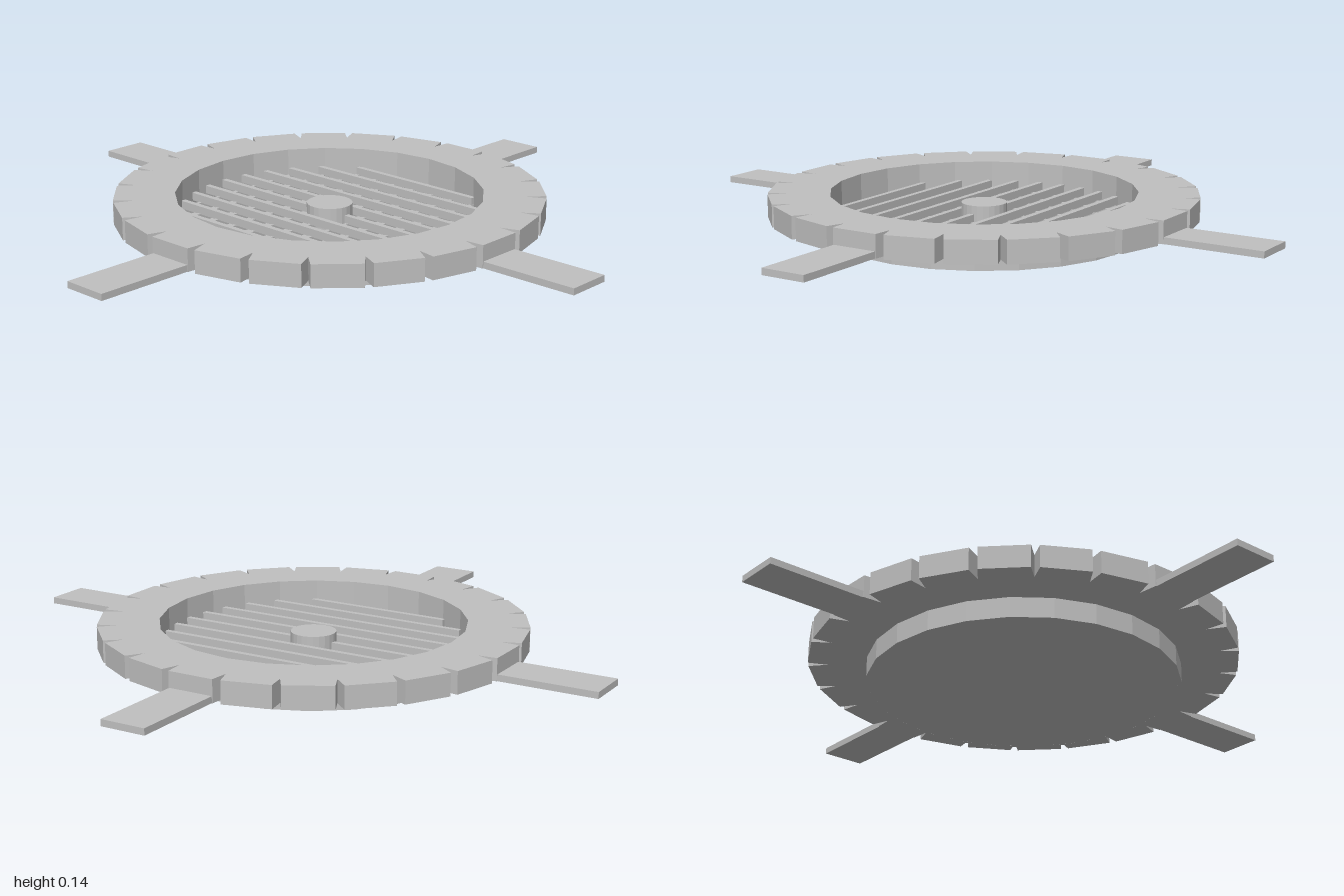
import * as THREE from 'three';

const SIDES = 24;
const STEP = (Math.PI * 2) / SIDES;

const polar = (r, a) => new THREE.Vector2(r * Math.cos(a), r * Math.sin(a));

// Corners of a regular 24-sided outline
function polygon(r) {
  return Array.from({ length: SIDES }, (_, i) => polar(r, i * STEP));
}

export function createModel() {
  const model = new THREE.Group();
  const grey = new THREE.MeshStandardMaterial({ color: 0xc0c0c0 });
  grey.name = 'light grey';
  grey.flatShading = true;

  function add(name, geometry, x = 0, y = 0, z = 0, parent = model) {
    const mesh = new THREE.Mesh(geometry, grey);
    mesh.name = name;
    mesh.position.set(x, y, z);
    parent.add(mesh);
    return mesh;
  }

  // Flat plate with a 24-sided hole, lying in the ground plane
  function plate(outline, holeRadius, height) {
    const shape = new THREE.Shape(outline);
    shape.holes.push(new THREE.Path(polygon(holeRadius).reverse()));
    return new THREE.ExtrudeGeometry(shape, { depth: height, bevelEnabled: false })
      .rotateX(-Math.PI / 2);
  }

  // Notched rim: straight outer segments with a narrow wedge between each pair
  const rimOutline = [];
  for (let i = 0; i < SIDES; i++) {
    const a = i * STEP;
    rimOutline.push(polar(0.684, a - 0.112), polar(0.684, a + 0.112), polar(0.623, a + STEP / 2));
  }
  add('notchedRim', plate(rimOutline, 0.49, 0.072), 0, 0.065, 0);

  // Shallow dish below the rim
  add('dishWall', plate(polygon(0.5), 0.49, 0.065));
  const floor = new THREE.CylinderGeometry(0.493, 0.493, 0.02, SIDES).rotateY(Math.PI / 2);
  add('dishFloor', floor, 0, 0.0101, 0);

  // Crossed grating bars, trimmed to the round opening
  const grating = new THREE.Group();
  grating.name = 'grating';
  model.add(grating);
  for (let k = -5; k <= 5; k++) {
    const p = k * 0.083;
    const length = 2 * Math.sqrt(0.486 ** 2 - p * p);
    add('upperBar', new THREE.BoxGeometry(0.018, 0.026, length), p, 0.06, 0, grating);
    add('lowerBar', new THREE.BoxGeometry(length, 0.026, 0.013), 0, 0.036, p, grating);
  }

  // Central hub
  add('hub', new THREE.CylinderGeometry(0.073, 0.073, 0.085, SIDES), 0, 0.0575, 0);

  // Four flat arms
  for (let i = 0; i < 4; i++) {
    const arm = new THREE.Group();
    arm.name = 'arm' + (i + 1);
    arm.rotation.y = (i * Math.PI) / 2;
    model.add(arm);
    add('armPlate', new THREE.BoxGeometry(0.33, 0.021, 0.148), 0.835, 0.0755, 0, arm);
  }

  return model;
}
